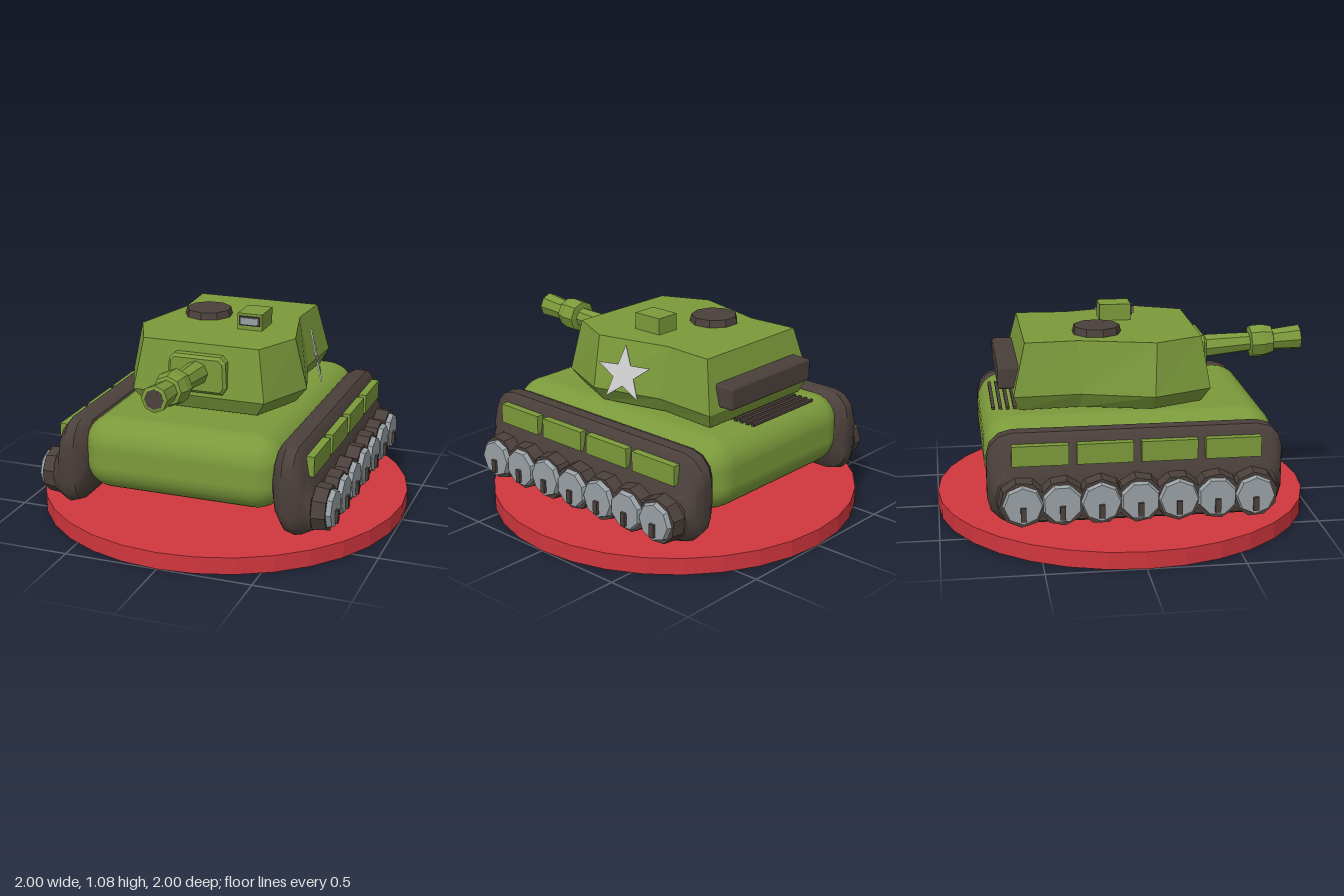
import * as THREE from 'three';
import { toCreasedNormals } from 'three/addons/utils/BufferGeometryUtils.js';
import { RoundedBoxGeometry } from 'three/addons/geometries/RoundedBoxGeometry.js';

const paint = (name, hex) => {
  const m = new THREE.MeshStandardMaterial({ color: hex });
  m.name = name;
  return m;
};

// Faceted normals
function flat(geo) {
  const g = geo.index ? geo.toNonIndexed() : geo;
  g.computeVertexNormals();
  return g;
}

// Skin a list of equal-length rings and close both ends
function loft(rings) {
  const pos = [];
  const tri = (...pts) => pts.forEach((p) => pos.push(p.x, p.y, p.z));
  const n = rings[0].length;
  const mid = (r) => r.reduce((s, p) => s.add(p), new THREE.Vector3()).divideScalar(n);
  const first = rings[0], last = rings[rings.length - 1];
  const c0 = mid(first), c1 = mid(last);
  for (let j = 0; j < n; j++) {
    const k = (j + 1) % n;
    for (let i = 0; i < rings.length - 1; i++) {
      const a = rings[i], b = rings[i + 1];
      tri(a[j], a[k], b[k]);
      tri(a[j], b[k], b[j]);
    }
    tri(first[k], first[j], c0);
    tri(last[j], last[k], c1);
  }
  const g = new THREE.BufferGeometry();
  g.setAttribute('position', new THREE.Float32BufferAttribute(pos, 3));
  return flat(g);
}

// Rounded rectangle in the zy plane at a given x
function trackRing([x, halfZ, bottom, top]) {
  const r = Math.min(0.13, (top - bottom) * 0.45);
  const cy = (top + bottom) / 2, hy = (top - bottom) / 2;
  const ring = [];
  for (let q = 0; q < 4; q++) {
    const sy = q === 0 || q === 3 ? 1 : -1, sz = q < 2 ? 1 : -1;
    for (let s = 0; s <= 3; s++) {
      const t = (q + s / 3) * Math.PI / 2;
      ring.push(new THREE.Vector3(x, cy + sy * (hy - r) + r * Math.cos(t), sz * (halfZ - r) + r * Math.sin(t)));
    }
  }
  return ring;
}

// Turret outline from half widths, ordered front-left round to front-right
function turretRing(y, half) {
  const left = half.map(([x, z]) => new THREE.Vector3(x, y, z));
  const right = half.map(([x, z]) => new THREE.Vector3(-x, y, z)).reverse();
  return [...left, ...right];
}

export function createModel() {
  const green = paint('armour green', 0x7b9a3b);
  const dark = paint('dark brown', 0x4b403b);
  const grey = paint('wheel grey', 0x99a0a5);
  const red = paint('base red', 0xd0363e);
  const white = paint('star white', 0xd0d0d0);

  const model = new THREE.Group();
  const add = (parent, name, geo, mat, x = 0, y = 0, z = 0) => {
    const m = new THREE.Mesh(geo, mat);
    m.name = name;
    m.position.set(x, y, z);
    parent.add(m);
    return m;
  };
  const box = (w, h, d) => new THREE.BoxGeometry(w, h, d);

  // Display base
  add(model, 'base', flat(new THREE.CylinderGeometry(1, 1, 0.09, 32)), red, 0, 0.045, 0);

  // Hull
  add(model, 'hull', new RoundedBoxGeometry(1.08, 0.39, 1.51, 4, 0.15), green, 0, 0.435, -0.005);

  // Running gear, the second side turned about the vertical axis
  const trackGeo = toCreasedNormals(loft([
    [0.49, 0.68, 0.3, 0.53], [0.515, 0.725, 0.21, 0.585], [0.56, 0.755, 0.15, 0.605],
    [0.615, 0.755, 0.132, 0.6], [0.65, 0.74, 0.135, 0.56], [0.665, 0.73, 0.14, 0.47],
    [0.7, 0.715, 0.16, 0.41],
  ].map(trackRing)), 0.6);
  const tireGeo = flat(new THREE.CylinderGeometry(0.118, 0.13, 0.11, 9).rotateZ(-Math.PI / 2));
  const wheelGeo = flat(new THREE.CylinderGeometry(0.095, 0.112, 0.05, 8).rotateZ(-Math.PI / 2));
  for (const side of [1, -1]) {
    const gear = new THREE.Group();
    gear.name = side > 0 ? 'leftRunningGear' : 'rightRunningGear';
    if (side < 0) gear.rotation.y = Math.PI;
    model.add(gear);
    add(gear, 'track', trackGeo, dark);
    for (let i = -3; i <= 3; i++) {
      const z = i * 0.195;
      add(gear, 'tire', tireGeo, dark, 0.715, 0.275, z).rotation.x = i * 0.5;
      add(gear, 'wheel', wheelGeo, grey, 0.77, 0.275, z).rotation.x = i * 0.4 + 0.39;
      add(gear, 'wheelBolt', box(0.04, 0.07, 0.028), dark, 0.79, 0.235, z);
    }
    for (let i = 0; i < 4; i++) {
      add(gear, 'sideSkirt', box(0.07, 0.105, 0.285), green, 0.657, 0.5, 0.49 - i * 0.326);
    }
  }

  // Turret body
  add(model, 'turret', loft([
    turretRing(0.64, [[0.31, 0.39], [0.43, 0.11], [0.34, -0.25], [0.36, -0.57]]),
    turretRing(0.72, [[0.36, 0.43], [0.492, 0.12], [0.385, -0.25], [0.4, -0.6]]),
    turretRing(0.99, [[0.315, 0.385], [0.43, 0.135], [0.33, -0.26], [0.345, -0.535]]),
  ]), green);

  // Gun shield
  const shield = new THREE.Shape();
  [[-0.13, -0.085], [0.13, -0.085], [0.145, -0.06], [0.14, 0.065], [0.12, 0.085], [-0.12, 0.085], [-0.14, 0.065], [-0.145, -0.06]]
    .forEach(([x, y], i) => (i ? shield.lineTo(x, y) : shield.moveTo(x, y)));
  const shieldGeo = new THREE.ExtrudeGeometry(shield, { depth: 0.05, bevelEnabled: true, bevelSize: 0.015, bevelThickness: 0.015, bevelSegments: 1 });
  add(model, 'gunShield', shieldGeo, green, 0, 0.842, 0.385);

  // Gun, raised slightly
  const gun = new THREE.Group();
  gun.name = 'gun';
  gun.position.set(0, 0.85, 0.42);
  gun.rotation.x = -0.065;
  model.add(gun);
  const barrel = [[0, 0], [0.066, 0], [0.052, 0.29], [0.088, 0.295], [0.09, 0.36], [0.076, 0.415], [0.058, 0.42], [0.068, 0.57], [0.05, 0.575], [0.05, 0.55], [0, 0.55]]
    .map(([r, z]) => new THREE.Vector2(r, z));
  const barrelGeo = flat(new THREE.LatheGeometry(barrel, 8).rotateX(Math.PI / 2));
  add(gun, 'barrel', barrelGeo, green);
  add(gun, 'bore', new THREE.CylinderGeometry(0.05, 0.05, 0.02, 8).rotateX(Math.PI / 2), dark, 0, 0, 0.566);

  // Roof fittings
  add(model, 'hatch', flat(new THREE.CylinderGeometry(0.122, 0.134, 0.05, 9)), dark, -0.155, 1.003, -0.145);
  add(model, 'periscope', box(0.135, 0.1, 0.17), green, 0.157, 1.028, -0.012);
  add(model, 'periscopeFrame', box(0.115, 0.05, 0.012), dark, 0.157, 1.04, 0.077);
  add(model, 'periscopeWindow', box(0.095, 0.038, 0.02), grey, 0.157, 1.04, 0.08);

  // Rear stowage and engine grille
  add(model, 'stowageBox', new RoundedBoxGeometry(0.635, 0.12, 0.13, 1, 0.015), dark, 0, 0.8, -0.61);
  for (let i = 0; i < 5; i++) {
    add(model, 'grilleBar', box(0.49, 0.014, 0.018), dark, -0.06, 0.637, -0.55 - i * 0.0375);
  }

  // Star plate leaning along the turret's left side
  const star = new THREE.Shape();
  for (let i = 0; i < 10; i++) {
    const r = i % 2 ? 0.06 : 0.152, a = Math.PI / 2 + i * Math.PI / 5;
    if (i) star.lineTo(r * Math.cos(a), r * Math.sin(a));
    else star.moveTo(r * Math.cos(a), r * Math.sin(a));
  }
  const starGeo = new THREE.ExtrudeGeometry(star, { depth: 0.008, bevelEnabled: false });
  const plate = add(model, 'star', starGeo, white, 0.475, 0.838, -0.085);
  plate.quaternion.setFromRotationMatrix(new THREE.Matrix4().lookAt(
    new THREE.Vector3(1, 0.24, -0.33), new THREE.Vector3(), new THREE.Vector3(0, 1, 0)));

  return model;
}
